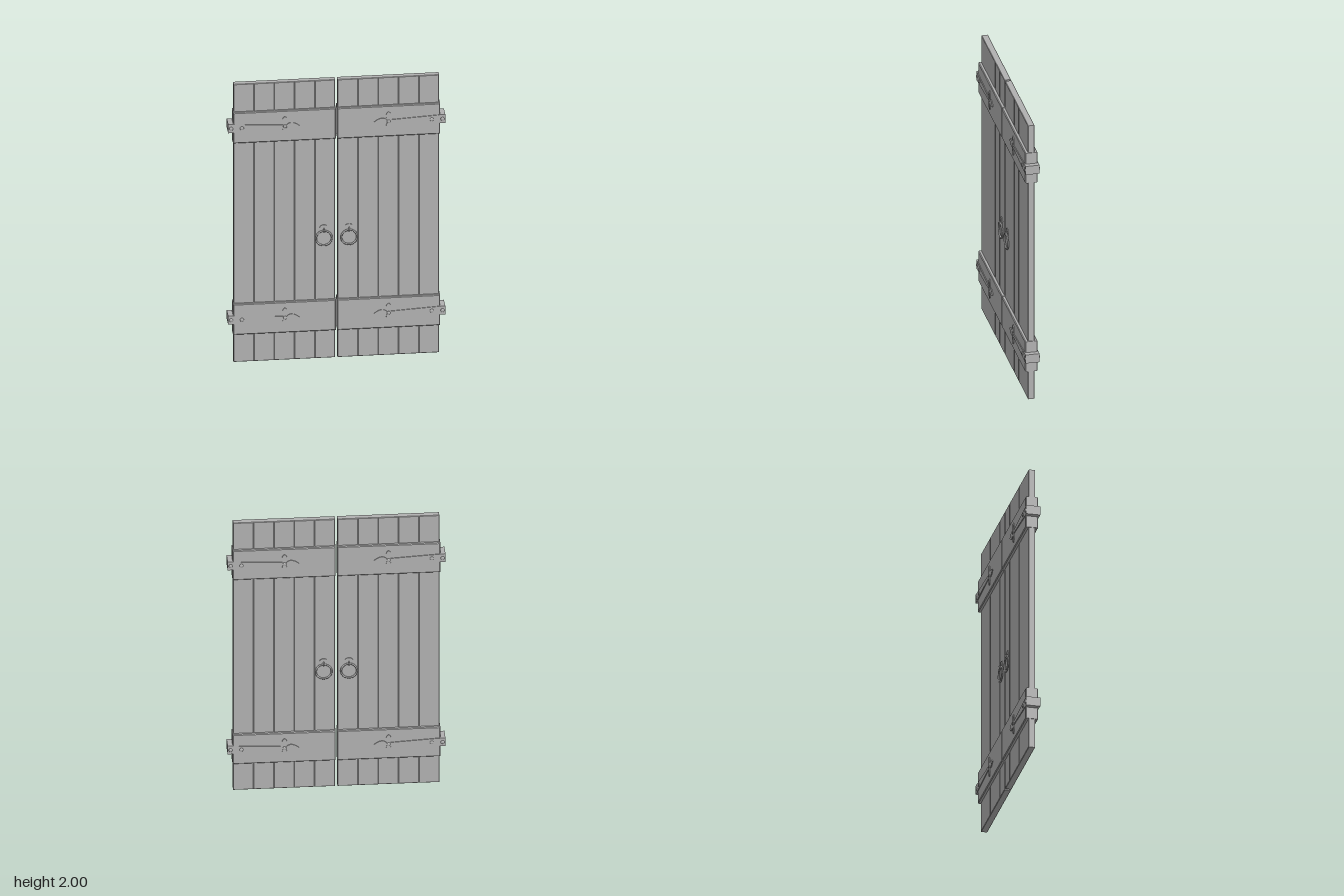
import * as THREE from 'three';

const iron = new THREE.MeshStandardMaterial({ color: 0xb0b0b0 });
iron.name = 'plain grey';

function add(parent, geometry, name, x = 0, y = 0, z = 0) {
  const mesh = new THREE.Mesh(geometry, iron);
  mesh.name = name;
  mesh.position.set(x, y, z);
  parent.add(mesh);
  return mesh;
}

// Box with chamfered edges, centred on the origin
function chamferBox(w, h, d, b) {
  const x = w / 2 - b, y = h / 2 - b;
  const s = new THREE.Shape();
  s.moveTo(-x, -y).lineTo(x, -y).lineTo(x, y).lineTo(-x, y).closePath();
  const g = new THREE.ExtrudeGeometry(s, {
    depth: d - 2 * b, bevelEnabled: true, bevelSize: b, bevelThickness: b, bevelSegments: 1,
  });
  return g.translate(0, 0, b - d / 2);
}

// Tapered strap ending in three petals; the petal centre is the origin
function strapGeometry() {
  const s = new THREE.Shape();
  s.moveTo(0.373, -0.031).lineTo(0.373, 0.031).lineTo(0.011, 0.011);
  s.bezierCurveTo(0.016, 0.025, 0.026, 0.055, 0, 0.07);
  s.bezierCurveTo(-0.026, 0.055, -0.016, 0.025, -0.011, 0.009);
  s.bezierCurveTo(-0.03, 0.032, -0.06, 0.03, -0.095, 0);
  s.bezierCurveTo(-0.06, -0.03, -0.03, -0.032, -0.011, -0.009);
  s.bezierCurveTo(-0.016, -0.025, -0.026, -0.055, 0, -0.07);
  s.bezierCurveTo(0.026, -0.055, 0.016, -0.025, 0.011, -0.011);
  s.closePath();
  return new THREE.ExtrudeGeometry(s, { depth: 0.009, bevelEnabled: false, curveSegments: 8 });
}

// Low domed rivet facing +z
function rivetGeometry(r) {
  return new THREE.SphereGeometry(r, 14, 5, 0, Math.PI * 2, 0, Math.PI / 2)
    .rotateX(Math.PI / 2).scale(1, 1, 0.5);
}

// Rounded plate behind the pull ring
function plateGeometry() {
  const s = new THREE.Shape();
  s.moveTo(-0.02, -0.022).lineTo(0.02, -0.022).lineTo(0.027, 0.005);
  s.quadraticCurveTo(0.024, 0.022, 0, 0.024);
  s.quadraticCurveTo(-0.024, 0.022, -0.027, 0.005);
  s.closePath();
  return new THREE.ExtrudeGeometry(s, { depth: 0.006, bevelEnabled: false, curveSegments: 8 });
}

export function createModel() {
  const model = new THREE.Group();
  model.name = 'doubleDoor';
  const levels = [0.314, 1.693];

  const inner = 0.008, plankW = 0.1336;
  const plank = chamferBox(plankW, 2, 0.044, 0.003);
  const rail = chamferBox(0.676, 0.22, 0.084, 0.005);
  const hingeEnd = new THREE.BoxGeometry(0.04, 0.062, 0.094);

  // Door leaves: planks, cross rails and the hinge ends around their outer edges
  for (const side of [-1, 1]) {
    const leaf = new THREE.Group();
    leaf.name = side > 0 ? 'leftLeaf' : 'rightLeaf';
    model.add(leaf);
    for (let i = 0; i < 5; i++) {
      add(leaf, plank, 'plank', side * (inner + plankW * (i + 0.5)), 1, 0);
    }
    for (const y of levels) {
      add(leaf, rail, 'crossRail', side * 0.343, y, 0);
      add(leaf, hingeEnd, 'hingeEnd', side * 0.694, y, 0);
    }
  }

  // Metalwork, the same on both faces
  const strap = strapGeometry();
  const rivet = rivetGeometry(0.013);
  const boss = rivetGeometry(0.012);
  const plate = plateGeometry();
  const ring = new THREE.TorusGeometry(0.052, 0.006, 10, 40);
  const loop = new THREE.TorusGeometry(0.013, 0.004, 8, 16).rotateY(Math.PI / 2);

  for (const face of ['front', 'back']) {
    const fittings = new THREE.Group();
    fittings.name = face + 'Fittings';
    if (face === 'back') fittings.rotation.y = Math.PI;
    model.add(fittings);

    for (const side of [-1, 1]) {
      for (const y of levels) {
        const hinge = new THREE.Group();
        hinge.name = 'strapHinge';
        hinge.position.set(side * 0.341, y, 0);
        if (side < 0) hinge.rotation.z = Math.PI;
        add(hinge, strap, 'strap', 0, 0, 0.0385);
        add(hinge, boss, 'boss', 0, 0, 0.0472);
        for (const x of [0.283, 0.354]) add(hinge, rivet, 'rivet', x, 0, 0.0472);
        fittings.add(hinge);
      }

      const handle = new THREE.Group();
      handle.name = 'ringHandle';
      handle.position.set(side * 0.083, 0.867, 0);
      add(handle, plate, 'handlePlate', 0, 0.069, 0.021);
      add(handle, loop, 'handleLoop', 0, 0.055, 0.026);
      add(handle, ring, 'pullRing', 0, 0, 0.031);
      fittings.add(handle);
    }
  }
  return model;
}
